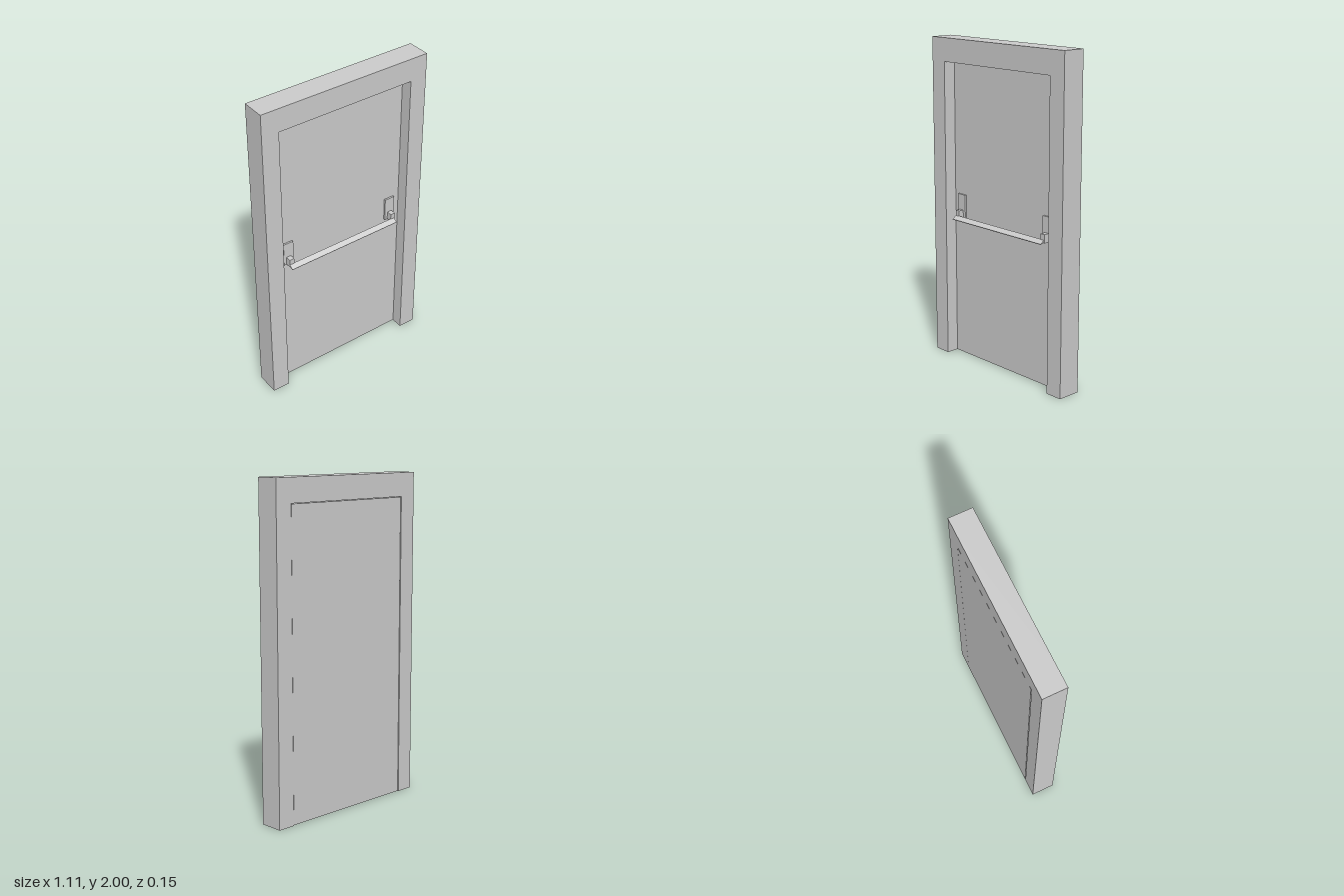
import * as THREE from 'three';

const material = new THREE.MeshStandardMaterial({ color: 0xcccccc });

// Box given by its min and max on each axis
function box(name, [x0, x1], [y0, y1], [z0, z1]) {
  const mesh = new THREE.Mesh(new THREE.BoxGeometry(x1 - x0, y1 - y0, z1 - z0), material);
  mesh.position.set((x0 + x1) / 2, (y0 + y1) / 2, (z0 + z1) / 2);
  mesh.name = name;
  return mesh;
}

export function createModel() {
  const model = new THREE.Group();
  model.name = 'pushBarDoor';

  const halfWidth = 0.555, halfDepth = 0.073, opening = 0.446, lintel = 1.857;

  // Frame: two full-height jambs and a header between them
  const frame = new THREE.Group();
  frame.name = 'frame';
  const depth = [-halfDepth, halfDepth];
  frame.add(
    box('rightJamb', [-halfWidth, -opening], [0, 2], depth),
    box('leftJamb', [opening, halfWidth], [0, 2], depth),
    box('header', [-opening, opening], [lintel, 2], depth),
  );
  model.add(frame);

  // Door leaf, flush with the back, with a narrow gap on the latch side
  model.add(box('doorLeaf', [-0.439, 0.445], [0.004, lintel - 0.003], [-halfDepth, 0]));

  // Push bar hardware: mounting plate and bracket at each end
  const hardware = new THREE.Group();
  hardware.name = 'pushBarAssembly';
  for (const [side, s] of [['right', -1], ['left', 1]]) {
    const span = (a, b) => (s < 0 ? [-b, -a] : [a, b]);
    hardware.add(
      box(side + 'Plate', span(0.338, 0.405), [0.892, 1.042], [0, 0.011]),
      box(side + 'Bracket', span(0.357, 0.388), [0.893, 0.945], [0.011, 0.045]),
    );
  }

  // Bar: a flat section sloping forward and down, run across the door
  const length = 0.771;
  const section = new THREE.Shape([
    [-0.071, 0.892], [-0.069, 0.888], [-0.038, 0.902], [-0.043, 0.912],
  ].map(([x, y]) => new THREE.Vector2(x, y)));
  const barGeometry = new THREE.ExtrudeGeometry(section, { depth: length, bevelEnabled: false });
  barGeometry.rotateY(Math.PI / 2);
  const bar = new THREE.Mesh(barGeometry, material);
  bar.position.x = -0.388;
  bar.name = 'pushBar';
  hardware.add(bar);
  model.add(hardware);

  return model;
}
